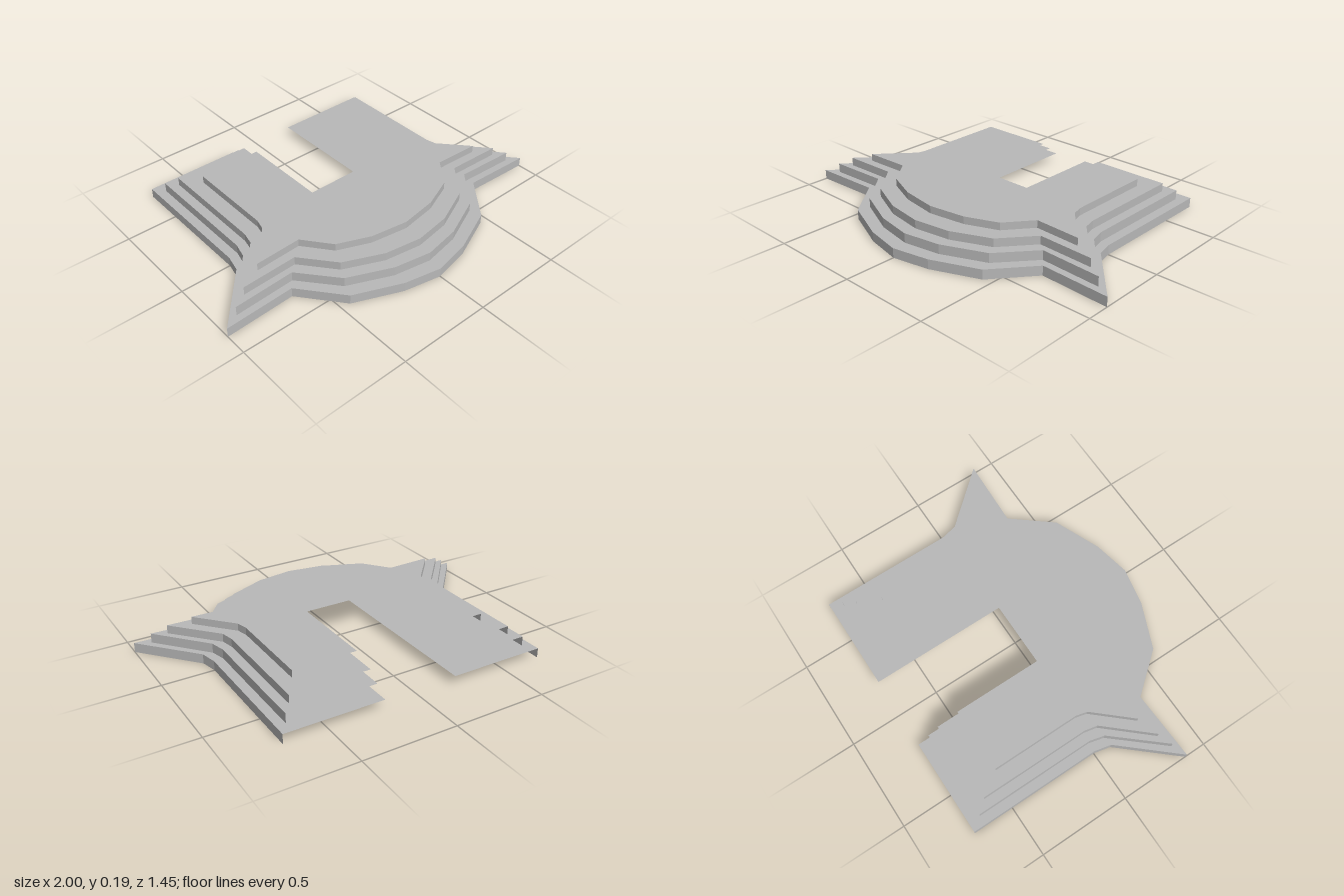
import * as THREE from 'three';

const INNER = 0.2; // half width of the rear notch

// Each tier: base and top height, and the left half outline [x, z] from rear leg to nose
const TIERS = [
  { y0: 0, y1: 0.052, line: [[0.725, -0.725], [0.725, 0], [0.745, 0.09], [1, 0.38], [0.625, 0.365], [0.45, 0.58], [INNER, 0.685], [0, 0.725]] },
  { y0: 0.052, y1: 0.103, line: [[0.675, -0.66], [0.675, 0], [0.695, 0.08], [0.92, 0.34], [0.59, 0.325], [0.43, 0.515], [INNER, 0.615], [0, 0.65]] },
  { y0: 0.103, y1: 0.148, line: [[0.625, -0.6], [0.625, 0], [0.64, 0.07], [0.845, 0.3], [0.545, 0.29], [0.405, 0.46], [INNER, 0.55], [0, 0.58]] },
  { y0: 0.148, y1: 0.188, line: [[0.545, -0.48], [0.545, 0], [0.56, 0.06], [0.73, 0.25], [0.48, 0.24], [0.37, 0.38], [INNER, 0.45], [0, 0.48]] },
];

const mirror = (pts) => pts.map(([x, z]) => [-x, z]);

// Flat upward-facing plate from [x, z] points
function plate(pts, y) {
  const shape = new THREE.Shape(pts.map(([x, z]) => new THREE.Vector2(x, -z)));
  return new THREE.ShapeGeometry(shape).rotateX(-Math.PI / 2).translate(0, y, 0);
}

// Vertical wall along an open [x, z] path
function wall(path, y0, y1) {
  const pos = [];
  for (let i = 0; i < path.length - 1; i++) {
    const [ax, az] = path[i], [bx, bz] = path[i + 1];
    pos.push(ax, y0, az, ax, y1, az, bx, y0, bz);
    pos.push(bx, y0, bz, ax, y1, az, bx, y1, bz);
  }
  const geo = new THREE.BufferGeometry();
  geo.setAttribute('position', new THREE.Float32BufferAttribute(pos, 3));
  geo.computeVertexNormals();
  return geo;
}

export function createModel() {
  const grey = new THREE.MeshStandardMaterial({ color: 0xb8b8b8, side: THREE.DoubleSide });
  grey.name = 'grey';
  const model = new THREE.Group();
  model.name = 'steppedPlatform';

  TIERS.forEach(({ y0, y1, line }, i) => {
    const tier = new THREE.Group();
    tier.name = `tier${i + 1}`;
    const add = (name, geo) => {
      const mesh = new THREE.Mesh(geo, grey);
      mesh.name = name;
      tier.add(mesh);
    };

    // Outer wall round the sides and nose; rear and notch stay open
    add('outerWall', wall([...line, ...mirror(line.slice(0, -1)).reverse()], y0, y1));

    // Leg and wing plates either side of the notch
    const side = [[INNER, line[0][1]], ...line.slice(0, -1)];
    add('leftPlate', plate(side, y1));
    add('rightPlate', plate(mirror(side), y1));

    // Centre: narrow treads on the lower tiers, a full deck on the top one
    const nose = (l) => [l[6], l[7], [-l[6][0], l[6][1]]];
    const next = TIERS[i + 1];
    const back = next ? nose(next.line).reverse() : [[-INNER, 0], [INNER, 0]];
    add(next ? 'centreTread' : 'centreDeck', plate([...nose(line), ...back], y1));

    model.add(tier);
  });
  return model;
}
